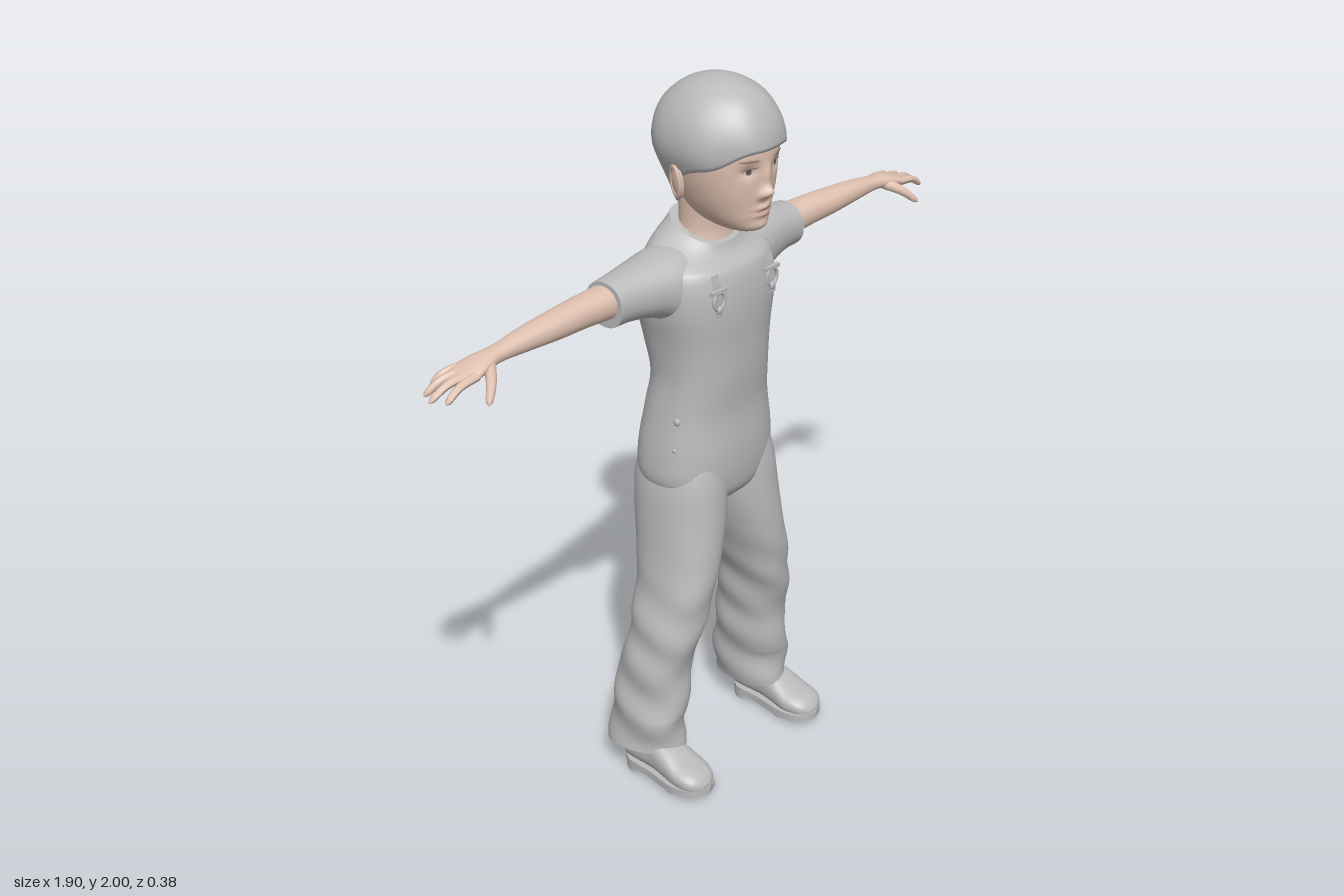
import * as THREE from 'three';

const mat = (name, color, side = THREE.FrontSide) => {
  const m = new THREE.MeshStandardMaterial({ color, side });
  m.name = name;
  return m;
};

// Smooth interpolation of a table whose rows are [t, value, value, ...] with rising t
function sample(T, t) {
  let i = 0;
  while (i < T.length - 2 && t > T[i + 1][0]) i++;
  const a = T[i], b = T[i + 1], p = T[Math.max(i - 1, 0)], q = T[Math.min(i + 2, T.length - 1)];
  const h = b[0] - a[0], s = Math.min(1, Math.max(0, (t - a[0]) / h)), s2 = s * s, s3 = s2 * s;
  return a.slice(1).map((v, k) => {
    const m0 = (b[k + 1] - p[k + 1]) / (b[0] - p[0]) * h, m1 = (q[k + 1] - v) / (q[0] - a[0]) * h;
    return v * (2 * s3 - 3 * s2 + 1) + m0 * (s3 - 2 * s2 + s) + b[k + 1] * (3 * s2 - 2 * s3) + m1 * (s3 - s2);
  });
}

function build(pos, idx) {
  const g = new THREE.BufferGeometry();
  g.setAttribute('position', new THREE.Float32BufferAttribute(pos, 3));
  g.setIndex(idx);
  g.computeVertexNormals();
  return g;
}

// Loft of superellipses; rows are [t, u0, u1, v0, v1] with (u, v, t) a cyclic order of the axes
function loft(T, axis, { n = 2.2, seg = 36, steps = 40, deform } = {}) {
  const pos = [], idx = [], t0 = T[0][0], t1 = T[T.length - 1][0];
  const put = (u, v, w) => {
    const p = axis === 'y' ? [v, w, u] : axis === 'x' ? [w, u, v] : [u, v, w];
    if (deform) deform(p);
    pos.push(...p);
  };
  const pw = (c) => Math.sign(c) * Math.abs(c) ** (2 / n);
  const ring = (t) => {
    const [u0, u1, v0, v1] = sample(T, t);
    for (let j = 0; j < seg; j++) {
      const a = j / seg * 2 * Math.PI;
      put((u0 + u1) / 2 + (u1 - u0) / 2 * pw(Math.cos(a)), (v0 + v1) / 2 + (v1 - v0) / 2 * pw(Math.sin(a)), t);
    }
  };
  for (let i = 0; i <= steps; i++) ring(t0 + (t1 - t0) * i / steps);
  for (let i = 0; i < steps; i++) for (let j = 0; j < seg; j++) {
    const a = i * seg + j, b = i * seg + (j + 1) % seg;
    idx.push(a, b, b + seg, a, b + seg, a + seg);
  }
  for (const [t, top] of [[t0, false], [t1, true]]) {
    const s = pos.length / 3, [u0, u1, v0, v1] = sample(T, t);
    ring(t);
    put((u0 + u1) / 2, (v0 + v1) / 2, t);
    for (let j = 0; j < seg; j++) {
      const a = s + j, b = s + (j + 1) % seg;
      top ? idx.push(a, b, s + seg) : idx.push(b, a, s + seg);
    }
  }
  return build(pos, idx);
}

// Tapered round finger along a curve
function finger(pts, r0, r1) {
  const c = new THREE.CatmullRomCurve3(pts.map((p) => new THREE.Vector3(...p)));
  const g = new THREE.TubeGeometry(c, 14, 1, 10), P = g.attributes.position, v = new THREE.Vector3();
  for (let k = 0; k < P.count; k++) {
    const t = Math.floor(k / 11) / 14, o = c.getPointAt(t);
    const r = (r0 + (r1 - r0) * t) * Math.sqrt(Math.max(0.001, 1 - Math.max(0, (t - 0.8) / 0.2) ** 2));
    v.fromBufferAttribute(P, k).sub(o).multiplyScalar(r).add(o);
    P.setXYZ(k, v.x, v.y, v.z);
  }
  g.computeVertexNormals();
  return g;
}

function mirrored(g) {
  const m = g.clone().applyMatrix4(new THREE.Matrix4().makeScale(-1, 1, 1)), ix = m.index;
  for (let i = 0; i < ix.count; i += 3) {
    const a = ix.getX(i);
    ix.setX(i, ix.getX(i + 1));
    ix.setX(i + 1, a);
  }
  m.computeVertexNormals();
  return m;
}

const TORSO = [[0.80, -0.08, 0.03, 0.06], [0.85, -0.14, 0.085, 0.15], [0.9, -0.172, 0.1, 0.198], [0.98, -0.18, 0.105, 0.2],
  [1.1, -0.162, 0.1, 0.182], [1.2, -0.148, 0.108, 0.17], [1.3, -0.17, 0.112, 0.178], [1.4, -0.185, 0.115, 0.198],
  [1.47, -0.178, 0.108, 0.2], [1.52, -0.16, 0.092, 0.185], [1.55, -0.142, 0.07, 0.15], [1.575, -0.125, 0.053, 0.11],
  [1.595, -0.118, 0.045, 0.09]].map(([y, b, f, w]) => [y, b, f, -w, w]);
const HAIR = [[1.64, -0.098, 0.1, 0.088], [1.72, -0.13, 0.155, 0.118], [1.77, -0.153, 0.172, 0.136], [1.82, -0.169, 0.187, 0.153],
  [1.87, -0.165, 0.185, 0.152], [1.92, -0.145, 0.165, 0.133], [1.96, -0.105, 0.132, 0.1], [1.985, -0.062, 0.085, 0.062],
  [1.996, -0.02, 0.05, 0.03], [2, 0.015, 0.017, 0.001]];
const HAIRLINE = [[0, 1.842], [0.5, 1.838], [1, 1.8], [1.4, 1.782], [1.75, 1.745], [2.1, 1.68], [2.6, 1.652], [Math.PI, 1.645]];
const FACE = [[1.612, 0.06, 0.125, 0.025], [1.622, 0.0, 0.147, 0.05], [1.645, -0.05, 0.155, 0.075], [1.68, -0.08, 0.158, 0.096],
  [1.72, -0.09, 0.162, 0.111], [1.76, -0.1, 0.165, 0.121], [1.8, -0.11, 0.17, 0.126], [1.85, -0.11, 0.165, 0.125],
  [1.93, -0.08, 0.11, 0.08]].map(([y, b, f, w]) => [y, b, f, -w, w]);

// Relief of nose, eye sockets, lips and chin
const bell = (x, w) => Math.exp(-((x / w) ** 2));
const relief = (x, y) => {
  const ax = Math.abs(x);
  return 0.026 * bell(x, 0.015) * bell(y - 1.727, 0.017) + 0.013 * bell(x, 0.013) * bell(y - 1.765, 0.03)
    + 0.009 * bell(ax - 0.016, 0.009) * bell(y - 1.72, 0.011) - 0.012 * bell(ax - 0.052, 0.026) * bell(y - 1.788, 0.017)
    + 0.008 * bell(x, 0.028) * (bell(y - 1.684, 0.007) + bell(y - 1.666, 0.008)) + 0.006 * bell(x, 0.03) * bell(y - 1.634, 0.014);
};
const surfZ = (T, n, x, y, side) => {
  const [b, f, , w] = sample(T, y);
  return (b + f) / 2 + side * (f - b) / 2 * Math.max(0, 1 - Math.min(1, Math.abs(x / w)) ** n) ** (1 / n);
};

// Thin oval lying on the face
function patch(cx, cy, rx, ry, slope, lift) {
  const g = new THREE.RingGeometry(0, 1, 24, 5), P = g.attributes.position;
  for (let i = 0; i < P.count; i++) {
    const x = cx + P.getX(i) * rx, y = cy + P.getY(i) * ry + slope * (x - cx);
    P.setXYZ(i, x, y, surfZ(FACE, 2.2, x, y, 1) + relief(x, y) + lift);
  }
  g.computeVertexNormals();
  return g;
}

function hairGeometry() {
  const seg = 64, N = 30, pos = [], idx = [];
  for (let i = 0; i <= N + 1; i++) for (let j = 0; j < seg; j++) {
    const a = j / seg * 2 * Math.PI, edge = sample(HAIRLINE, Math.min(a, 2 * Math.PI - a))[0];
    const s = Math.min(i / N, 1), y = 2 - (2 - edge) * s ** 1.7, [b, f, w] = sample(HAIR, y);
    const k = (i > N ? 0.76 : 1) * (1 + 0.012 * s * Math.sin(7 * a + 9 * y));
    pos.push(w * k * Math.sin(a), y + (i > N ? 0.004 : 0), (b + f) / 2 + (f - b) / 2 * k * Math.cos(a));
  }
  for (let i = 0; i <= N; i++) for (let j = 0; j < seg; j++) {
    const a = i * seg + j, b = i * seg + (j + 1) % seg;
    idx.push(a, b + seg, b, a, a + seg, b + seg);
  }
  return build(pos, idx);
}

// Flat band with its width along x
function strap(path, w) {
  const c = new THREE.CatmullRomCurve3(path.map((p) => new THREE.Vector3(...p))), pos = [], idx = [];
  for (let i = 0; i <= 30; i++) {
    const p = c.getPoint(i / 30);
    pos.push(p.x - w, p.y, p.z, p.x + w, p.y, p.z);
    if (i) idx.push(2 * i - 2, 2 * i - 1, 2 * i + 1, 2 * i - 2, 2 * i + 1, 2 * i);
  }
  return build(pos, idx);
}

export function createModel() {
  const model = new THREE.Group();
  const cloth = mat('grey', 0xbababa), band = mat('strap grey', 0xb6b6b6, THREE.DoubleSide), skin = mat('skin', 0xdfc1b0);
  const white = mat('eye white', 0xc9c0ba), iris = mat('iris', 0x5c5450), brow = mat('brow', 0xa98d7e), lip = mat('lip', 0xcfa497);
  const add = (name, g, m) => {
    const mesh = new THREE.Mesh(g, m);
    mesh.name = name;
    model.add(mesh);
  };
  const pair = (name, g, m) => {
    add('left ' + name, g, m);
    add('right ' + name, mirrored(g), m);
  };

  // Torso with a collar that dips at the front
  add('torso', loft(TORSO, 'y', { n: 2.4, seg: 48, steps: 60, deform: (p) => {
    p[1] -= 0.4 * (p[2] + 0.035) * THREE.MathUtils.smoothstep(p[1], 1.5, 1.59);
  } }), cloth);
  pair('sleeve', loft([[0.05, 1.33, 1.565, -0.15, 0.05], [0.15, 1.365, 1.562, -0.15, 0.05], [0.22, 1.398, 1.552, -0.138, 0.032],
    [0.3, 1.413, 1.543, -0.122, 0.012], [0.36, 1.415, 1.536, -0.117, 0.006]], 'x'), cloth);

  // Trouser legs with soft folds below the knee
  pair('trouser leg', loft([[0.09, -0.178, 0.058, 0.15, 0.306], [0.2, -0.17, 0.062, 0.14, 0.302], [0.3, -0.155, 0.064, 0.126, 0.291],
    [0.4, -0.135, 0.075, 0.118, 0.28], [0.5, -0.12, 0.098, 0.102, 0.262], [0.6, -0.13, 0.11, 0.07, 0.238],
    [0.7, -0.148, 0.11, 0.036, 0.222], [0.8, -0.165, 0.105, 0.008, 0.212], [0.9, -0.17, 0.098, 0, 0.2],
    [1.0, -0.15, 0.08, 0.02, 0.17]], 'y', { steps: 70, deform: (p) => {
    const k = 0.005 * (1 - THREE.MathUtils.smoothstep(p[1], 0.45, 0.7));
    p[0] += k * Math.sin(p[1] * 42 + p[2] * 18);
    p[2] += k * Math.sin(p[1] * 35 + p[0] * 25);
    p[1] += p[1] < 0.2 ? 0.08 * (p[2] + 0.06) : 0;
  } }), cloth);

  // Shoes: upper, sole, heel and front tread
  pair('shoe upper', loft([[-0.115, 0.215, 0.262, 0.025, 0.09], [-0.095, 0.195, 0.28, 0.025, 0.12], [0, 0.19, 0.287, 0.025, 0.13],
    [0.05, 0.184, 0.294, 0.022, 0.115], [0.1, 0.178, 0.3, 0.02, 0.09], [0.14, 0.186, 0.296, 0.02, 0.077],
    [0.165, 0.202, 0.28, 0.022, 0.062], [0.176, 0.225, 0.255, 0.028, 0.045]], 'z', { n: 2.5 }), cloth);
  const slab = (pts, y, h) => {
    const s = new THREE.Shape().setFromPoints(new THREE.SplineCurve(pts.map(([x, z]) => new THREE.Vector2(x, -z))).getPoints(40));
    const g = new THREE.ExtrudeGeometry(s, { depth: h, bevelEnabled: false }).rotateX(-Math.PI / 2).translate(0, y, 0);
    g.setIndex([...Array(g.attributes.position.count).keys()]);
    return g;
  };
  pair('shoe sole', slab([[0.238, 0.182], [0.285, 0.16], [0.305, 0.1], [0.291, 0], [0.284, -0.08], [0.238, -0.12],
    [0.19, -0.08], [0.185, 0], [0.172, 0.1], [0.19, 0.16], [0.238, 0.182]], 0.014, 0.022), cloth);
  pair('shoe heel', slab([[0.238, -0.035], [0.28, -0.042], [0.284, -0.08], [0.238, -0.12], [0.19, -0.08], [0.194, -0.042], [0.238, -0.035]], 0, 0.016), cloth);
  pair('shoe tread', slab([[0.238, 0.14], [0.285, 0.12], [0.294, 0.07], [0.238, 0.02], [0.184, 0.07], [0.192, 0.12], [0.238, 0.14]], 0.002, 0.014), cloth);

  // Bare arms, hands and fingers
  pair('arm and hand', loft([[0.33, 1.436, 1.526, -0.108, -0.01], [0.45, 1.445, 1.524, -0.1, -0.012], [0.55, 1.45, 1.52, -0.092, -0.012],
    [0.65, 1.456, 1.512, -0.084, -0.018], [0.74, 1.46, 1.5, -0.077, -0.024], [0.79, 1.456, 1.495, -0.088, -0.014],
    [0.83, 1.45, 1.483, -0.098, -0.008], [0.86, 1.445, 1.471, -0.098, -0.012], [0.872, 1.448, 1.462, -0.088, -0.02]], 'x', { seg: 28 }), skin);
  [[0.885, -0.12, 1.427], [0.93, -0.097, 1.424], [0.948, -0.06, 1.425], [0.932, -0.018, 1.428]].forEach(([x, z, y], i) => {
    const z0 = -0.088 + i * 0.023;
    pair('finger ' + (i + 1), finger([[0.83, 1.466, z0], [(0.85 + x) / 2, 1.455, (z0 + z) / 2], [x, y, z]], 0.0125, 0.0085), skin);
  });
  pair('thumb', finger([[0.775, 1.472, -0.035], [0.808, 1.45, 0.005], [0.848, 1.412, 0.036]], 0.017, 0.009), skin);

  // Neck, face and ears
  add('neck', loft([[1.53, -0.11, 0.04, -0.085, 0.085], [1.6, -0.098, 0.032, -0.072, 0.072], [1.7, -0.1, 0.05, -0.075, 0.075]], 'y'), skin);
  add('face', loft(FACE, 'y', { seg: 128, steps: 80, deform: (p) => {
    if (p[2] > 0.05) p[2] += relief(p[0], p[1]);
  } }), skin);
  pair('ear', new THREE.SphereGeometry(1, 20, 14).scale(0.012, 0.045, 0.027).rotateY(0.4).rotateZ(-0.12).translate(0.129, 1.745, -0.012), skin);
  pair('ear rim', new THREE.TorusGeometry(0.026, 0.006, 8, 24).scale(0.9, 1.5, 1).rotateY(Math.PI / 2 + 0.4).rotateZ(-0.12).translate(0.135, 1.747, -0.014), skin);
  pair('eye', patch(0.052, 1.787, 0.02, 0.008, 0, 0.002), white);
  pair('iris', patch(0.051, 1.787, 0.0075, 0.0075, 0, 0.0035), iris);
  pair('eyelid', patch(0.052, 1.795, 0.022, 0.0025, -0.08, 0.004), brow);
  pair('eyebrow', patch(0.055, 1.816, 0.027, 0.004, 0.06, 0.002), brow);
  add('mouth', patch(0, 1.675, 0.027, 0.0075, 0, 0.0015), lip);

  add('hair', hairGeometry(), cloth);

  // Overall straps, buckles and side buttons
  const onTorso = (x, y, side) => [x, y, surfZ(TORSO, 2.4, x, y, side) + side * 0.004];
  pair('front strap', strap([1.4, 1.44, 1.48, 1.51].map((y) => onTorso(0.105, y, 1)), 0.015), band);
  pair('back strap', strap([[0.09, 1.5], [0.075, 1.45], [0.05, 1.38], [0.025, 1.32]].map(([x, y]) => onTorso(x, y, -1)), 0.014), band);
  const bz = onTorso(0.105, 1.43, 1)[2];
  pair('buckle', new THREE.TorusGeometry(0.02, 0.005, 8, 20).scale(1, 1.2, 1).translate(0.105, 1.445, bz), cloth);
  pair('buckle bar', new THREE.BoxGeometry(0.056, 0.01, 0.012).translate(0.105, 1.47, bz - 0.002), cloth);
  pair('buckle button', new THREE.SphereGeometry(0.011, 14, 10).scale(1, 1, 0.6).translate(0.105, 1.42, bz + 0.002), cloth);
  for (const [x, y, r] of [[0.178, 1.1, 0.011], [0.19, 1.02, 0.007]])
    pair('side button', new THREE.SphereGeometry(r, 14, 10).scale(0.6, 1, 1).translate(x, y, 0.02), cloth);
  return model;
}
